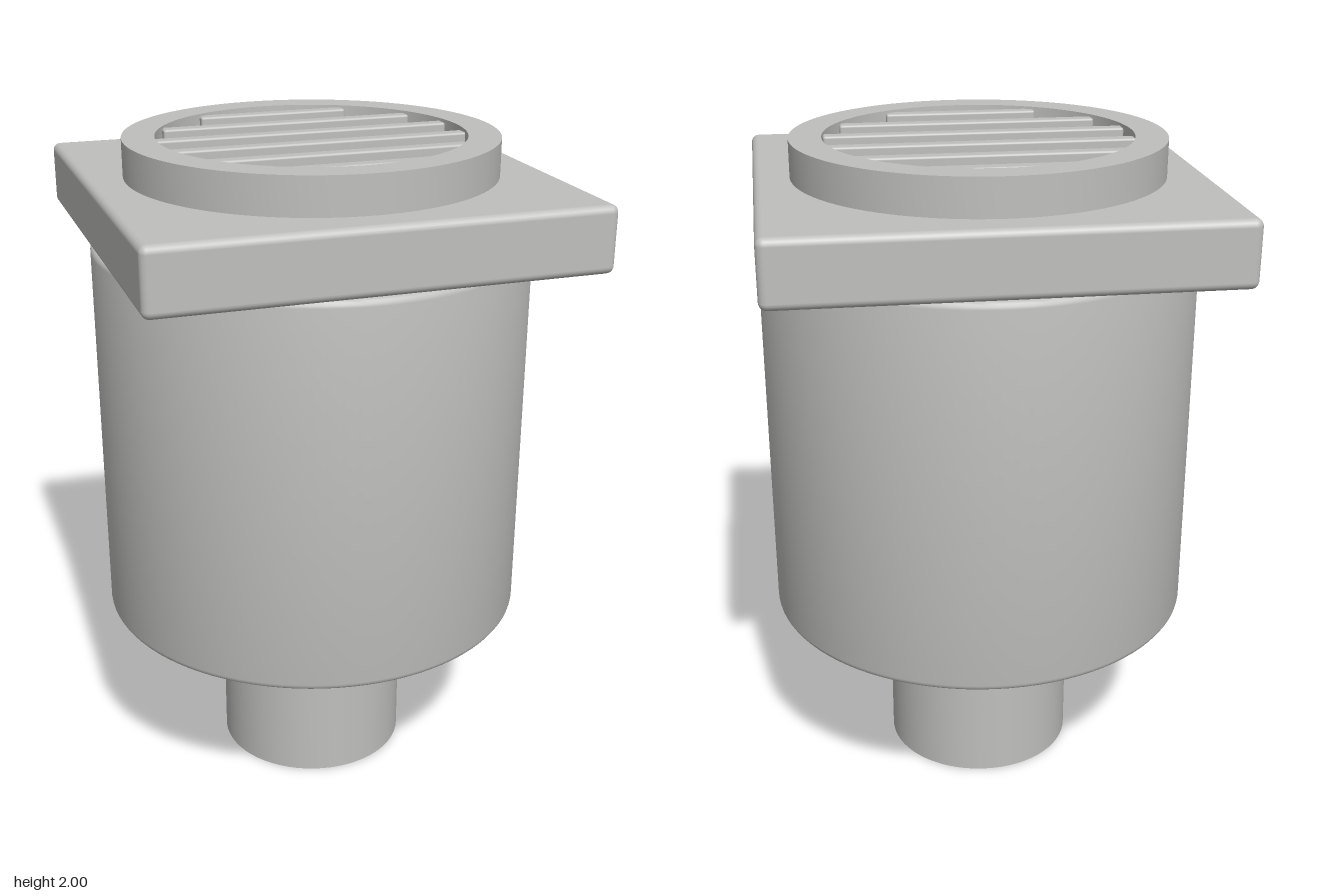
import * as THREE from 'three';
import { RoundedBoxGeometry } from 'three/addons/geometries/RoundedBoxGeometry.js';
import { toCreasedNormals } from 'three/addons/utils/BufferGeometryUtils.js';

const steel = new THREE.MeshStandardMaterial({ color: 0xbfbfbd });
steel.name = 'brushedSteel';
const dark = new THREE.MeshStandardMaterial({ color: 0x333333 });
dark.name = 'darkOpening';

// Lathe a list of [radius, height] points, keeping hard edges sharp
function turned(points, segments = 64) {
  const profile = points.map(([r, y]) => new THREE.Vector2(r, y));
  return toCreasedNormals(new THREE.LatheGeometry(profile, segments), 0.6);
}

export function createModel() {
  const model = new THREE.Group();
  model.name = 'floorDrain';

  function add(name, geometry, material, y = 0, z = 0, parent = model) {
    const mesh = new THREE.Mesh(geometry, material);
    mesh.name = name;
    mesh.position.set(0, y, z);
    parent.add(mesh);
    return mesh;
  }

  // Hollow outlet pipe, open at the bottom
  add('outletPipe', turned([[0.25, 0.54], [0.25, 0], [0.29, 0], [0.29, 0.54]]), steel);

  // Main cylinder with softened rims
  const R = 0.65, bottom = 0.53, top = 1.7, b = 0.02;
  const body = [[0, bottom]];
  for (let i = 0; i <= 4; i++) {
    const a = (i / 4) * Math.PI / 2;
    body.push([R - b + b * Math.sin(a), bottom + b - b * Math.cos(a)]);
  }
  for (let i = 0; i <= 4; i++) {
    const a = (i / 4) * Math.PI / 2;
    body.push([R - b + b * Math.cos(a), top - b + b * Math.sin(a)]);
  }
  body.push([0, top]);
  add('body', turned(body, 96), steel);

  // Square cover plate
  add('coverPlate', new RoundedBoxGeometry(1.3, 0.19, 1.3, 3, 0.022), steel, 1.795);

  // Raised ring around the grate
  add('grateRing', turned([[0.45, 1.88], [0.45, 2], [0.545, 2], [0.545, 1.88]].reverse(), 96)
    .scale(1, 1, 1), steel).geometry = turned(
    [[0.545, 1.88], [0.545, 2], [0.45, 2], [0.45, 1.88]], 96);

  // Dark opening under the bars
  add('opening', new THREE.CylinderGeometry(0.45, 0.45, 0.045, 96), dark, 1.908);

  // Parallel bars, each cut to the chord of the ring
  const grate = new THREE.Group();
  grate.name = 'grate';
  model.add(grate);
  for (let i = 0; i < 6; i++) {
    const z = (i - 2.5) * 0.154;
    const length = 2 * Math.sqrt(0.45 * 0.45 - z * z);
    add('grateBar', new RoundedBoxGeometry(length, 0.065, 0.044, 2, 0.007), steel, 1.96, z, grate);
  }

  return model;
}
